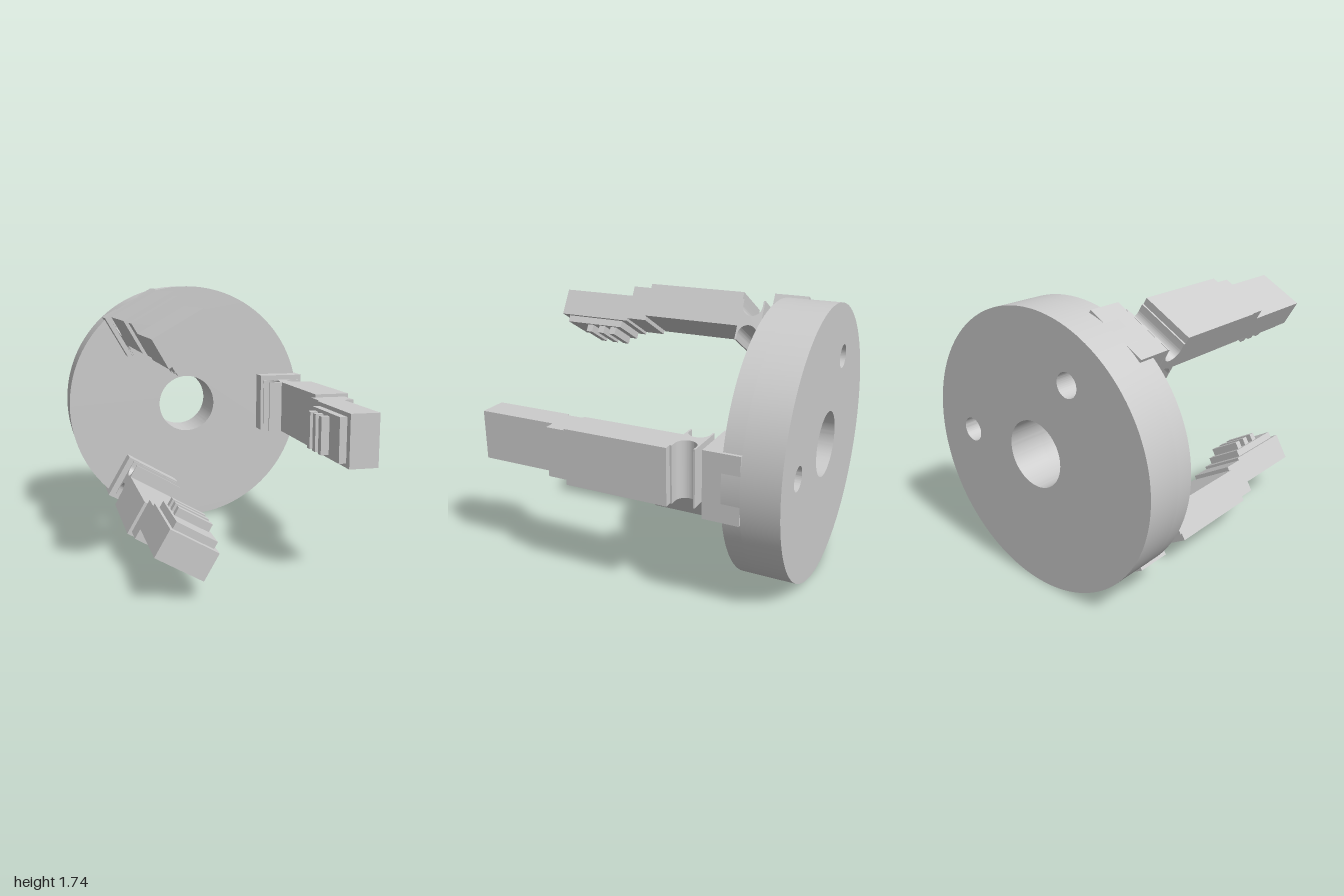
import * as THREE from 'three';
import { toCreasedNormals } from 'three/addons/utils/BufferGeometryUtils.js';

const R = 0.87;
const material = new THREE.MeshStandardMaterial({ color: 0xcccccc });

function addMesh(parent, name, geometry) {
  const mesh = new THREE.Mesh(geometry, material);
  mesh.name = name;
  parent.add(mesh);
  return mesh;
}

// Box given by its radial range, half width and range along z
function addBox(parent, name, r0, r1, half, z0, z1) {
  const mesh = addMesh(parent, name, new THREE.BoxGeometry(r1 - r0, 2 * half, z1 - z0));
  mesh.position.set((r0 + r1) / 2, 0, (z0 + z1) / 2);
}

// Slice of the round plate with circular holes [x, y, radius]
function addDisc(parent, name, z0, z1, holes) {
  const shape = new THREE.Shape().absarc(0, 0, R, 0, Math.PI * 2);
  for (const [x, y, r] of holes) shape.holes.push(new THREE.Path().absarc(x, y, r, 0, Math.PI * 2, true));
  const geometry = new THREE.ExtrudeGeometry(shape, { depth: z1 - z0, bevelEnabled: false, curveSegments: 72 });
  addMesh(parent, name, toCreasedNormals(geometry, 0.5)).position.z = z0;
}

// Waisted joint: a bar with a round groove along each side
function addJoint(parent) {
  const r0 = 0.548, r1 = 0.82, z0 = -0.485, z1 = -0.33, zc = -0.408, g = 0.066;
  const cl = 0.584, cr = 0.778;
  // Drawn in (r, -z) so that turning it upright restores z
  const s = new THREE.Shape();
  s.moveTo(r0, -z1);
  s.lineTo(r0, -zc - g);
  s.absarc(cl, -zc, g, -Math.PI / 2, Math.PI / 2, false);
  s.lineTo(r0, -zc + g);
  s.lineTo(r0, -z0);
  s.lineTo(r1, -z0);
  s.lineTo(r1, -zc + g);
  s.absarc(cr, -zc, g, Math.PI / 2, Math.PI * 1.5, false);
  s.lineTo(r1, -zc - g);
  s.lineTo(r1, -z1);
  s.closePath();
  const geometry = new THREE.ExtrudeGeometry(s, { depth: 0.36, bevelEnabled: false, curveSegments: 24 });
  geometry.translate(0, 0, -0.18).rotateX(-Math.PI / 2);
  addMesh(parent, 'flexJoint', toCreasedNormals(geometry, 0.5));
}

function makeFinger() {
  const finger = new THREE.Group();
  finger.name = 'finger';
  addBox(finger, 'mountBlock', 0.548, 0.865, 0.207, -0.77, -0.547);
  addJoint(finger);
  addBox(finger, 'fingerBody', 0.64, 0.866, 0.18, -0.33, 0.34);
  addBox(finger, 'fingerCollar', 0.613, 0.843, 0.16, 0.34, 0.48);
  addBox(finger, 'fingerTip', 0.595, 0.775, 0.16, 0.48, 1);
  addBox(finger, 'gripPad', 0.55, 0.595, 0.135, 0.53, 0.955);
  // Gripping ribs
  for (const z of [0.598, 0.688, 0.781]) addBox(finger, 'gripRib', 0.5, 0.55, 0.115, z - 0.022, z + 0.022);
  return finger;
}

export function createModel() {
  const model = new THREE.Group();
  model.name = 'gripper';
  const gripper = new THREE.Group();
  gripper.name = 'gripperAssembly';
  gripper.position.y = R;
  model.add(gripper);

  // Plate: the rear slice carries two blind holes behind the first two fingers
  const bore = [0, 0, 0.207];
  const pins = [0, 1].map(i => {
    const a = i * Math.PI * 2 / 3;
    return [0.567 * Math.cos(a), 0.567 * Math.sin(a), 0.075];
  });
  addDisc(gripper, 'plateRear', -1, -0.77, [bore, ...pins]);
  addDisc(gripper, 'plateFront', -0.77, -0.66, [bore]);

  // Three fingers evenly around the plate
  for (let i = 0; i < 3; i++) {
    const finger = makeFinger();
    finger.rotation.z = i * Math.PI * 2 / 3;
    gripper.add(finger);
  }
  return model;
}
